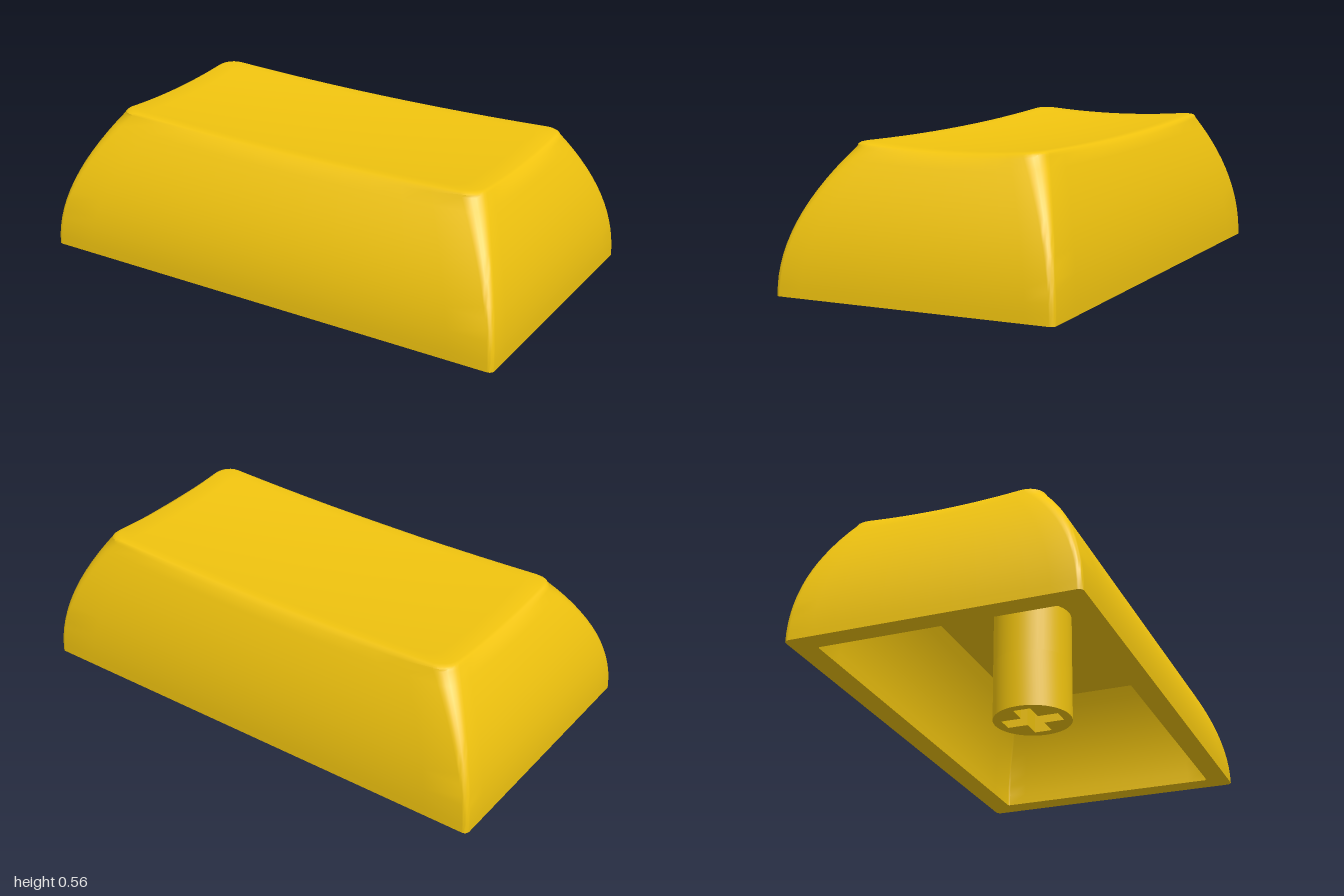
import * as THREE from 'three';
import { toCreasedNormals } from 'three/addons/utils/BufferGeometryUtils.js';

const EDGE = 12, ARC = 6, DISH_Z = -0.045;

// Height of the scooped top surface
const dish = (x, z) => 0.52 + 0.031 * x * x + 0.146 * (z - DISH_Z) ** 2;

// Rounded rectangle in plan, counter-clockwise from above: [x, z] pairs
function outline(hx, zBack, zFront, r) {
  const pts = [];
  const corners = [
    [hx - r, zFront - r, -Math.PI / 2],
    [hx - r, zBack + r, 0],
    [-hx + r, zBack + r, Math.PI / 2],
    [-hx + r, zFront - r, Math.PI],
  ];
  corners.forEach(([cx, cz, start], k) => {
    for (let i = 0; i <= ARC; i++) {
      const a = start + (i / ARC) * Math.PI / 2;
      pts.push([cx + r * Math.cos(a), cz - r * Math.sin(a)]);
    }
    // straight run to the start of the next corner
    const [nx, nz, na] = corners[(k + 1) % 4];
    const [x0, z0] = pts[pts.length - 1];
    const x1 = nx + r * Math.cos(na), z1 = nz - r * Math.sin(na);
    for (let i = 1; i < EDGE; i++) {
      const t = i / EDGE;
      pts.push([x0 + (x1 - x0) * t, z0 + (z1 - z0) * t]);
    }
  });
  return pts;
}

// Plan outline of the curved flanks at height y, moved inward by inset
function section(y, inset = 0, sharp = false) {
  const k = (y / 0.55) ** 2;
  const r = sharp ? 0.008 : 0.02 + 0.05 * k;
  return outline(1 - 0.19 * k - inset, -0.56 + 0.14 * k + inset, 0.56 - 0.225 * k - inset, r);
}

// Skin a sequence of equal rings, closing both ends onto a centre point
function loft(start, rings, end) {
  const pos = [], n = rings[0].length;
  const tri = (a, b, c) => pos.push(...a, ...b, ...c);
  for (let j = 0; j < n; j++) {
    const j2 = (j + 1) % n;
    tri(start, rings[0][j2], rings[0][j]);
    for (let i = 0; i < rings.length - 1; i++) {
      const a = rings[i][j], b = rings[i][j2], c = rings[i + 1][j2], d = rings[i + 1][j];
      tri(a, b, c);
      tri(a, c, d);
    }
    const last = rings[rings.length - 1];
    tri(last[j], last[j2], end);
  }
  const geo = new THREE.BufferGeometry();
  geo.setAttribute('position', new THREE.Float32BufferAttribute(pos, 3));
  return toCreasedNormals(geo, 0.6);
}

function shellGeometry() {
  const rings = [], ceiling = 0.45, wall = 0.09;
  // cavity, from the ceiling down to the open bottom
  for (let i = 0; i <= 10; i++) {
    const y = ceiling * (1 - i / 10);
    rings.push(section(y, wall, true).map(([x, z]) => [x, y, z]));
  }
  // outer flanks, rising to just under the scooped rim
  const rim = section(0.54).map(([x, z]) => dish(x, z));
  for (let i = 0; i <= 14; i++) {
    rings.push(rim.map((top, j) => {
      const y = (top - 0.02) * i / 14;
      const [x, z] = section(y)[j];
      return [x, y, z];
    }));
  }
  // softened rim
  for (const [inset, drop] of [[0.002, 0.011], [0.009, 0.004], [0.02, 0]]) {
    rings.push(section(0.54, inset).map(([x, z]) => [x, dish(x, z) - drop, z]));
  }
  // scooped top, shrinking toward its middle
  const edge = section(0.54, 0.02);
  for (let i = 1; i < 10; i++) {
    const s = 1 - i / 10;
    rings.push(edge.map(([ex, ez]) => {
      const x = ex * s, z = DISH_Z + (ez - DISH_Z) * s;
      return [x, dish(x, z), z];
    }));
  }
  return loft([0, ceiling, DISH_Z], rings, [0, dish(0, DISH_Z), DISH_Z]);
}

// Round post with a cross-shaped socket
function socketGeometry(radius, depth) {
  const shape = new THREE.Shape().absarc(0, 0, radius, 0, Math.PI * 2);
  const L = 0.12, w = 0.036;
  const cross = [];
  for (let q = 0; q < 4; q++) {
    for (const [x, y] of [[L, -w], [L, w], [w, w]]) {
      cross.push(new THREE.Vector2(x, y).rotateAround(new THREE.Vector2(), q * Math.PI / 2));
    }
  }
  shape.holes.push(new THREE.Path(cross.reverse()));
  const geo = new THREE.ExtrudeGeometry(shape, { depth, bevelEnabled: false, curveSegments: 40 });
  geo.rotateX(-Math.PI / 2);
  return toCreasedNormals(geo, 0.5);
}

export function createModel() {
  const group = new THREE.Group();
  group.name = 'keycap';
  const material = new THREE.MeshStandardMaterial({ color: 0xf1c40f });
  const add = (name, geo, parent) => {
    const mesh = new THREE.Mesh(geo, material);
    mesh.name = name;
    parent.add(mesh);
    return mesh;
  };

  add('shell', shellGeometry(), group);

  // stem hanging from the ceiling
  const stem = new THREE.Group();
  stem.name = 'stem';
  group.add(stem);
  const radius = 0.16, depth = 0.24, top = 0.46;
  add('stemSocket', socketGeometry(radius, depth), stem);
  const post = add('stemPost', new THREE.CylinderGeometry(radius, radius, top - depth, 40), stem);
  post.position.y = (top + depth) / 2;

  return group;
}
